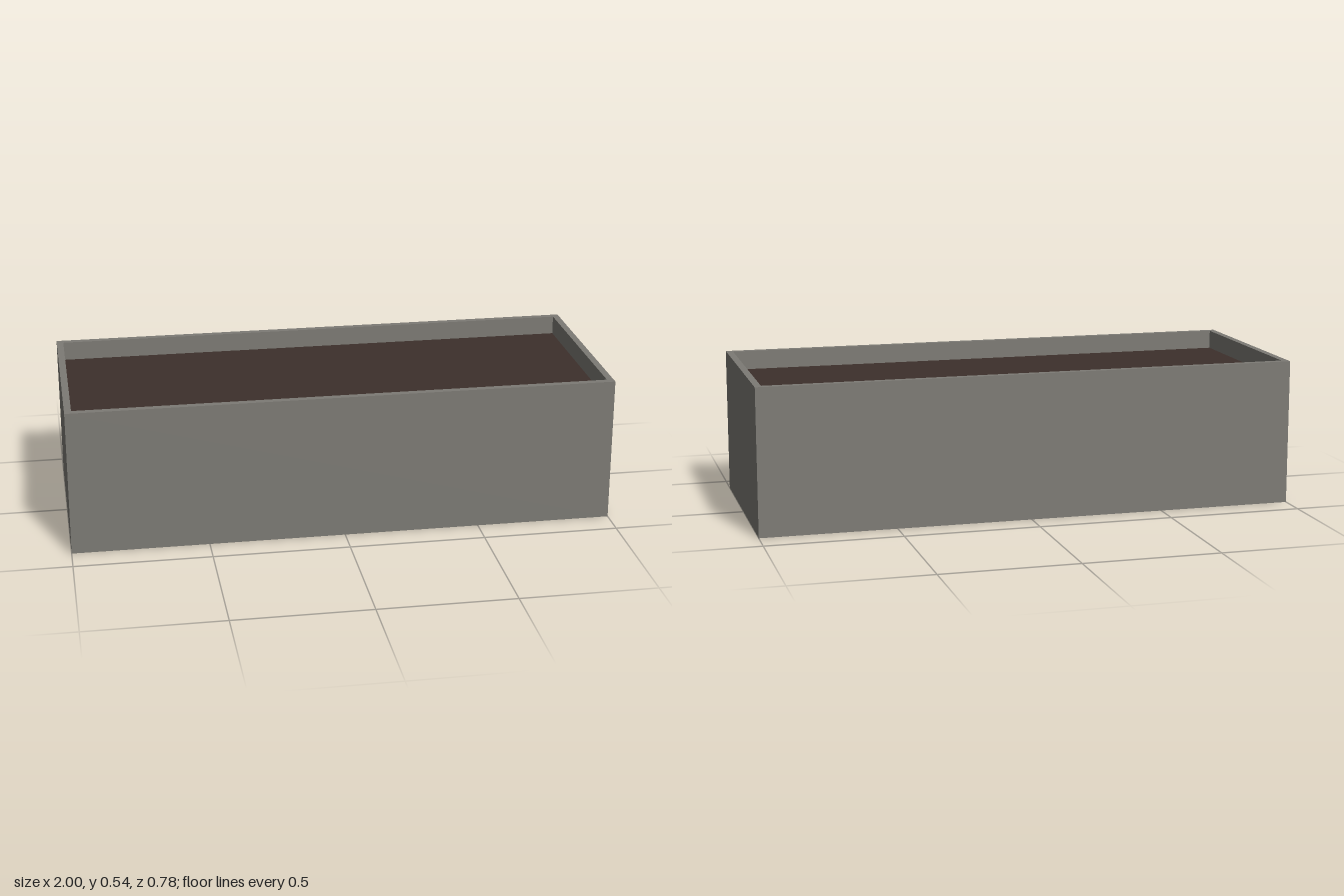
import * as THREE from 'three';

const W = 2, H = 0.54, D = 0.784; // outer size
const T = 0.025;                  // wall thickness
const SOIL_Y = 0.47;

// Rectangle centred on the origin
function rect(PathType, w, d) {
  return new PathType([
    new THREE.Vector2(-w / 2, -d / 2),
    new THREE.Vector2(w / 2, -d / 2),
    new THREE.Vector2(w / 2, d / 2),
    new THREE.Vector2(-w / 2, d / 2),
  ]);
}

export function createModel() {
  const group = new THREE.Group();
  group.name = 'planterBox';

  // Four walls as one rectangular tube, open at top and bottom
  const outline = rect(THREE.Shape, W, D);
  outline.holes.push(rect(THREE.Path, W - 2 * T, D - 2 * T));
  const wallGeometry = new THREE.ExtrudeGeometry(outline, { depth: H, bevelEnabled: false });
  wallGeometry.rotateX(-Math.PI / 2);
  const walls = new THREE.Mesh(wallGeometry, new THREE.MeshStandardMaterial({ color: 0x7d7b75 }));
  walls.name = 'walls';
  group.add(walls);

  // Soil surface, a thin sheet set below the rim
  const soilGeometry = new THREE.PlaneGeometry(W - 2 * T, D - 2 * T);
  soilGeometry.rotateX(-Math.PI / 2);
  const soil = new THREE.Mesh(
    soilGeometry,
    new THREE.MeshStandardMaterial({ color: 0x3d302b, side: THREE.DoubleSide })
  );
  soil.name = 'soil';
  soil.position.y = SOIL_Y;
  group.add(soil);

  return group;
}
